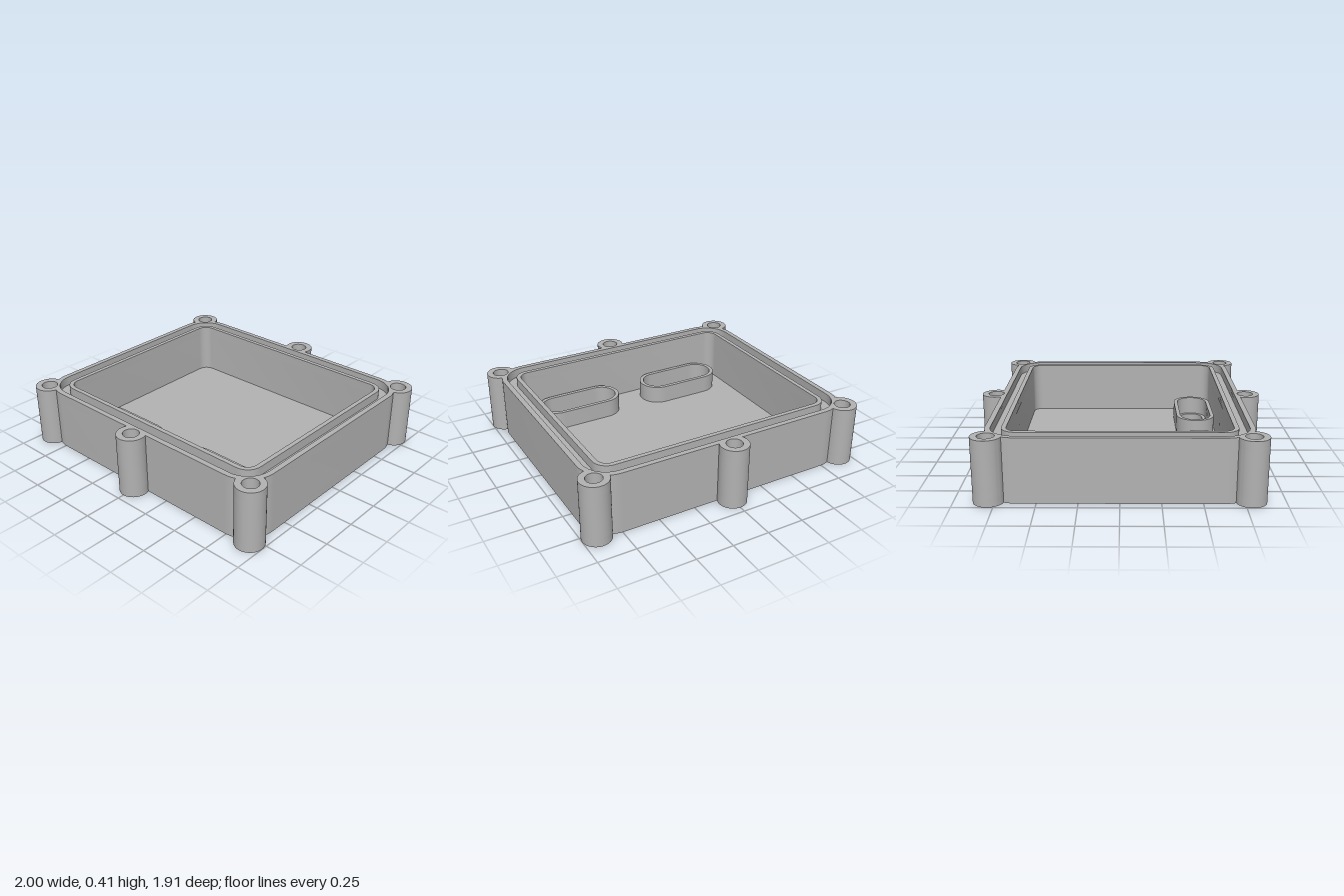
import * as THREE from 'three';
import { toCreasedNormals } from 'three/addons/utils/BufferGeometryUtils.js';

const HEIGHT = 0.415, FLOOR = 0.06, GROOVE = 0.355;   // levels in y
const HALF_W = 0.94, HALF_D = 0.82, CORNER = 0.2;     // outer wall
const BOSS_R = 0.095, HOLE_R = 0.053;
const CORNER_BOSS = [0.905, 0.788], MID_BOSS_Z = 0.861;
const SLOT_X = 0.413, SLOT_Z = 0.543, SLOT_HALF = 0.172;

// Points on an arc
function arc(cx, cy, r, a0, a1, n) {
  return Array.from({ length: n + 1 }, (_, i) => {
    const a = a0 + (a1 - a0) * i / n;
    return new THREE.Vector2(cx + r * Math.cos(a), cy + r * Math.sin(a));
  });
}

// Outer outline: rounded wall merged with six round bosses, one quadrant mirrored
function outline() {
  const cx = HALF_W - CORNER, cy = HALF_D - CORNER, [bx, by] = CORNER_BOSS;
  const d = Math.hypot(bx - cx, by - cy), dir = Math.atan2(by - cy, bx - cx);
  const a = Math.acos((CORNER ** 2 + d * d - BOSS_R ** 2) / (2 * CORNER * d));
  const b = Math.acos((BOSS_R ** 2 + d * d - CORNER ** 2) / (2 * BOSS_R * d));
  const quarter = [
    ...arc(cx, cy, CORNER, 0, dir - a, 6),
    ...arc(bx, by, BOSS_R, dir - Math.PI + b, dir + Math.PI - b, 32).slice(1),
    ...arc(cx, cy, CORNER, dir + a, Math.PI / 2, 6).slice(1),
    ...arc(0, MID_BOSS_Z, BOSS_R, Math.asin((HALF_D - MID_BOSS_Z) / BOSS_R), Math.PI / 2, 16),
  ];
  const half = [...quarter,
    ...quarter.slice(0, -1).reverse().map((p) => new THREE.Vector2(-p.x, p.y))];
  return [...half, ...half.map((p) => new THREE.Vector2(-p.x, -p.y))];
}

// Rounded rectangle inset from the outer wall, with concentric corners
function inset(t) {
  const x = HALF_W - CORNER, y = HALF_D - CORNER, r = CORNER - t, q = Math.PI / 2;
  return [[x, y], [-x, y], [-x, -y], [x, -y]]
    .flatMap(([cx, cy], i) => arc(cx, cy, r, i * q, (i + 1) * q, 12));
}

// Slot with round ends
function slot(side, r) {
  const x = side * SLOT_X, q = Math.PI / 2;
  return [...arc(x + SLOT_HALF, -SLOT_Z, r, -q, q, 20),
    ...arc(x - SLOT_HALF, -SLOT_Z, r, q, 3 * q, 20)];
}

// Screw holes
function screwHoles() {
  const [x, z] = CORNER_BOSS;
  return [[x, z], [-x, z], [-x, -z], [x, -z], [0, MID_BOSS_Z], [0, -MID_BOSS_Z]]
    .map(([cx, cy]) => arc(cx, cy, HOLE_R, 0, Math.PI * 2, 32).slice(0, -1));
}

export function createModel() {
  const group = new THREE.Group();
  const grey = new THREE.MeshStandardMaterial({ color: 0xb2b2b2 });
  grey.name = 'grey';

  // Upright prism between two heights
  function addLayer(name, outer, holes, y0, y1) {
    const shape = new THREE.Shape(outer);
    shape.holes = holes.map((h) => new THREE.Path(h));
    const geo = new THREE.ExtrudeGeometry(shape, { depth: y1 - y0, bevelEnabled: false });
    geo.rotateX(-Math.PI / 2).translate(0, y0, 0);
    const mesh = new THREE.Mesh(toCreasedNormals(geo, 0.5), grey);
    mesh.name = name;
    group.add(mesh);
  }

  const body = outline();
  addLayer('floor', body, [slot(-1, 0.083), slot(1, 0.083)], 0, FLOOR);
  addLayer('walls', body, [inset(0.13), ...screwHoles()], FLOOR, GROOVE);

  // Two rims leave a seal groove between them
  addLayer('outerRim', body, [inset(0.035), ...screwHoles()], GROOVE, HEIGHT);
  addLayer('innerRim', inset(0.1), [inset(0.13)], GROOVE, HEIGHT);

  // Raised collars round the slots
  for (const side of [-1, 1]) {
    addLayer(side > 0 ? 'leftSlotCollar' : 'rightSlotCollar',
      slot(side, 0.135), [slot(side, 0.108)], FLOOR, FLOOR + 0.125);
  }
  return group;
}
